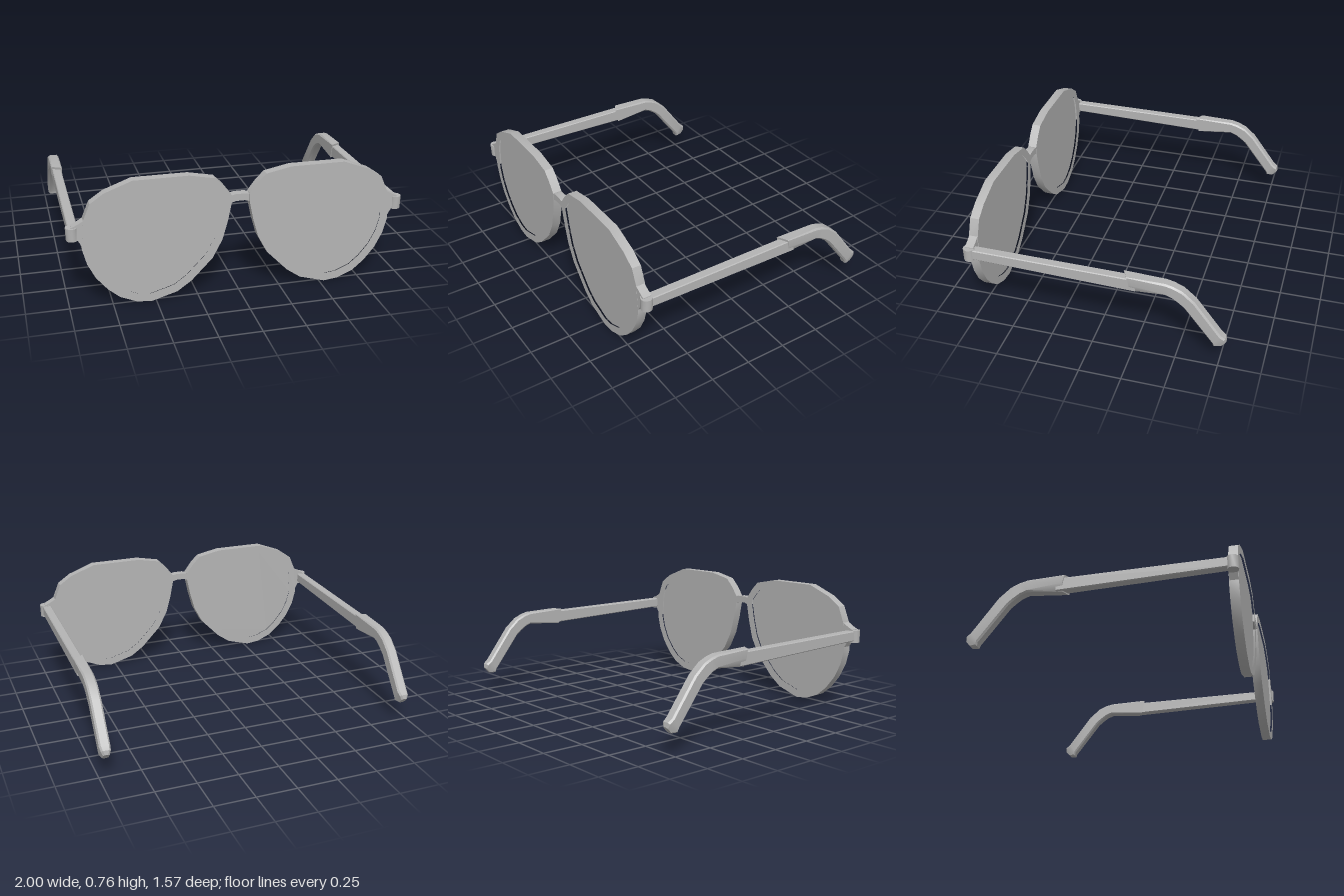
import * as THREE from 'three';
import { toCreasedNormals } from 'three/addons/utils/BufferGeometryUtils.js';

// Rim outline of the +x eye, clockwise from the bridge
const RIM = [
  [0.053, 0.617], [0.10, 0.68], [0.15, 0.73], [0.30, 0.76], [0.62, 0.76], [0.78, 0.70], [0.86, 0.645],
  [0.90, 0.55], [0.915, 0.375], [0.89, 0.28], [0.845, 0.19], [0.78, 0.11], [0.71, 0.05], [0.615, 0.01],
  [0.53, 0], [0.375, 0.045], [0.29, 0.105], [0.165, 0.235], [0.107, 0.345], [0.075, 0.46], [0.053, 0.57],
].map(([x, y]) => new THREE.Vector2(x, y));

// Move a clockwise outline inwards by d
function inset(points, d) {
  const n = points.length;
  const inward = (a, b) => new THREE.Vector2(b.y - a.y, a.x - b.x).normalize();
  return points.map((p, i) => {
    const n1 = inward(points[(i + n - 1) % n], p);
    const n2 = inward(p, points[(i + 1) % n]);
    return n1.clone().add(n2).multiplyScalar(d / (1 + n1.dot(n2))).add(p);
  });
}

function plate(points, z0, z1, hole) {
  const shape = new THREE.Shape(points);
  if (hole) shape.holes.push(new THREE.Path(hole));
  const geo = new THREE.ExtrudeGeometry(shape, { depth: z1 - z0, bevelEnabled: false });
  return toCreasedNormals(geo.translate(0, 0, z0), 0.5);
}

// Skin closed rings of points, with a flat cap at each end
function loft(rings) {
  const n = rings[0].length, index = [];
  for (let r = 0; r < rings.length - 1; r++) {
    for (let i = 0; i < n; i++) {
      const a = r * n + i, b = r * n + (i + 1) % n;
      index.push(a, b, a + n, b, b + n, a + n);
    }
  }
  const last = (rings.length - 1) * n;
  for (let i = 1; i < n - 1; i++) {
    index.push(0, i + 1, i, last, last + i, last + i + 1);
  }
  const geo = new THREE.BufferGeometry();
  geo.setAttribute('position', new THREE.Float32BufferAttribute(rings.flat(2), 3));
  geo.setIndex(index);
  return toCreasedNormals(geo, 0.5);
}

// Chamfered section between a top and a bottom point; skew pushes the inner side forward,
// low enlarges the lower outer chamfer
function section({ top, bottom, x0, x1, c = 0.005, low = c, skew = 0 }) {
  const h = Math.hypot(top[0] - bottom[0], top[1] - bottom[1]);
  const at = (x, d) => {
    const t = d / h;
    const inner = (x1 - x) / (x1 - x0);
    return [x, bottom[1] + (top[1] - bottom[1]) * t, bottom[0] + (top[0] - bottom[0]) * t + skew * inner];
  };
  return [
    at(x0 + c, 0), at(x0, c), at(x0, h - c), at(x0 + c, h),
    at(x1 - c, h), at(x1, h - c), at(x1, low), at(x1 - Math.max(c, low * 0.35), 0),
  ];
}

// Copy reflected to the -x side with its winding kept outward
function mirrored(geo) {
  const out = geo.index ? geo.toNonIndexed() : geo.clone();
  for (const name of ['position', 'normal']) {
    const a = out.attributes[name];
    for (let i = 0; i < a.count; i += 3) {
      const v = [0, 2, 1].map((k) => [-a.getX(i + k), a.getY(i + k), a.getZ(i + k)]);
      v.forEach((p, k) => a.setXYZ(i + k, ...p));
    }
  }
  return out;
}

export function createModel() {
  const model = new THREE.Group();
  model.name = 'sunglasses';
  const grey = new THREE.MeshStandardMaterial({ color: 0xb4b4b4 });
  grey.name = 'grey';

  const add = (name, geo) => {
    const mesh = new THREE.Mesh(geo, grey);
    mesh.name = name;
    model.add(mesh);
  };
  const addPair = (name, geo) => {
    add(name + 'Left', geo);
    add(name + 'Right', mirrored(geo));
  };

  // Rims and the slightly recessed lenses
  const opening = inset(RIM, 0.05);
  addPair('rim', plate(RIM, 0.717, 0.773, opening));
  addPair('lens', plate(inset(RIM, 0.045), 0.729, 0.761));

  // Arched bridge
  const bridge = [
    [-0.06, 0.613], [-0.03, 0.62], [0.03, 0.62], [0.06, 0.613],
    [0.06, 0.568], [0.025, 0.578], [-0.025, 0.578], [-0.06, 0.568],
  ].map(([x, y]) => new THREE.Vector2(x, y));
  add('bridge', plate(bridge, 0.72, 0.77));

  // End pieces flaring from the rim to the hinge
  const endPiece = [
    [0.885, 0.575], [0.90, 0.548], [0.93, 0.53], [0.968, 0.512], [0.968, 0.435], [0.935, 0.432], [0.905, 0.38],
  ].map(([x, y]) => new THREE.Vector2(x, y));
  addPair('endPiece', plate(endPiece, 0.72, 0.772));

  // Hinge barrels
  const hinge = new THREE.CylinderGeometry(0.036, 0.034, 0.078, 12).translate(0.964, 0.469, 0.749);
  addPair('hinge', toCreasedNormals(hinge, 0.6));

  // Straight temple arms, points given as [z, y]
  addPair('temple', loft([
    { top: [0.745, 0.505], bottom: [0.745, 0.443], x0: 0.93, x1: 0.985 },
    { top: [-0.26, 0.497], bottom: [-0.26, 0.416], x0: 0.93, x1: 0.985 },
  ].map(section)));

  // Bent ear tips with a slanted front edge
  const x0 = 0.924, x1 = 0.99, c = 0.01;
  addPair('earTip', loft([
    { top: [-0.21, 0.512], bottom: [-0.232, 0.411], x0, x1, c: 0.004, low: 0.05, skew: 0.035 },
    { top: [-0.43, 0.508], bottom: [-0.43, 0.43], x0, x1, c },
    { top: [-0.475, 0.497], bottom: [-0.47, 0.415], x0, x1, c },
    { top: [-0.53, 0.473], bottom: [-0.506, 0.39], x0, x1, c },
    { top: [-0.6, 0.413], bottom: [-0.54, 0.362], x0, x1, c },
    { top: [-0.755, 0.207], bottom: [-0.71, 0.143], x0, x1, c },
    { top: [-0.782, 0.186], bottom: [-0.715, 0.122], x0: 0.928, x1: 0.986, c },
    { top: [-0.787, 0.16], bottom: [-0.752, 0.121], x0: 0.938, x1: 0.976, c },
  ].map(section)));

  return model;
}
